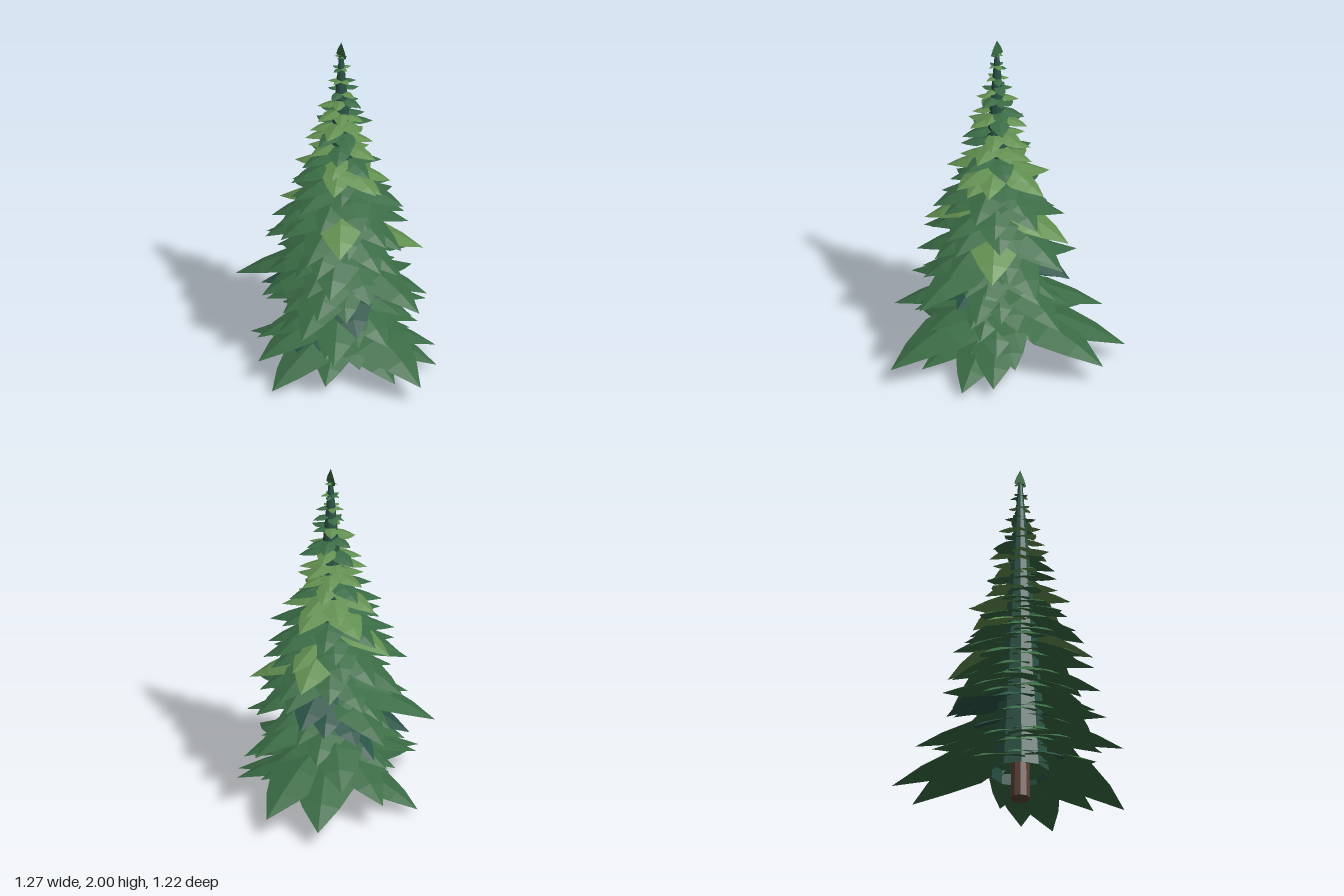
import * as THREE from 'three';

const AXIS = new THREE.Vector3(-0.07, 0, 0.025);
const material = (color) => new THREE.MeshStandardMaterial({ color, flatShading: true, side: THREE.DoubleSide });

// small seeded generator, 0..1
function seeded(seed) {
  return () => (seed = (seed * 16807) % 2147483647) / 2147483647;
}

// piecewise linear lookup in [key, value] pairs
function lookup(table, k) {
  for (let i = 1; i < table.length; i++) {
    const [a, va] = table[i - 1], [b, vb] = table[i];
    if (k <= b) return THREE.MathUtils.mapLinear(Math.max(k, a), a, b, va, vb);
  }
  return table[table.length - 1][1];
}

// branch outline: [distance along branch, half width as a share of the widest]
const OUTLINE = [[0.08, 0.4], [0.28, 0.85], [0.5, 1], [0.76, 0.58], [1, 0]];

// arched, slightly ridged, leaf-like branch from the trunk axis to its tip
function branchGeometry(tip, drop, halfWidth) {
  const reach = new THREE.Vector3(tip.x - AXIS.x, 0, tip.z - AXIS.z);
  const d = reach.clone().normalize();
  const side = new THREE.Vector3(d.z, 0, -d.x);
  const rows = OUTLINE.map(([t, w]) => {
    const mid = AXIS.clone().addScaledVector(reach, t);
    mid.y = tip.y + drop * (1 - Math.pow(t, 1.8));
    return [-1, 0, 1].map((s) => {
      const p = mid.clone().addScaledVector(side, s * w * halfWidth);
      p.y -= Math.abs(s) * w * halfWidth * 0.25;
      return p;
    });
  });
  const points = [];
  for (let i = 0; i < rows.length - 1; i++) {
    for (let j = 0; j < 2; j++) {
      const a = rows[i][j], b = rows[i][j + 1], c = rows[i + 1][j], e = rows[i + 1][j + 1];
      points.push(a, c, b);
      if (i < rows.length - 2) points.push(b, c, e);
    }
  }
  const geometry = new THREE.BufferGeometry().setFromPoints(points);
  geometry.computeVertexNormals();
  return geometry;
}

// large lower branches: tip x, y, z
const LOWER_TIPS = [
  [0.635, 0.12, 0.06], [0.335, 0.27, 0.435], [0.155, 0.38, 0.515], [0.01, 0.035, 0.605],
  [-0.14, 0.15, 0.575], [-0.28, 0.2, 0.46], [-0.505, 0.5, 0.42], [-0.585, 0.03, 0.24],
  [-0.6, 0.5, 0], [-0.64, 0.16, -0.04], [-0.575, 0.28, -0.275], [-0.597, 0.1, -0.455],
  [-0.33, 0.12, -0.61], [-0.1, 0.38, -0.52], [0.11, 0.28, -0.44], [0.255, 0.07, -0.38],
  [0.39, 0.04, -0.27], [0.33, 0.31, 0.25], [0.51, 0.5, -0.04], [0.3, 0.45, -0.28],
  [0.42, 0.05, 0.06], [0.2, 0.06, 0.38],
];

// tip height -> longest reach from the axis
const REACH = [[0.1, 0.42], [0.5, 0.47], [0.75, 0.45], [1.07, 0.35], [1.25, 0.24],
  [1.48, 0.19], [1.66, 0.115], [1.84, 0.06], [1.91, 0.04]];

// tip height -> droop as a share of the reach
const DROOP = [[0.1, 0.38], [0.75, 0.4], [1.07, 0.34], [1.9, 0.15]];

export function createModel() {
  const tree = new THREE.Group();
  const green = material(0x3a6b45), light = material(0x628f50), dark = material(0x2a5346);
  const add = (parent, name, geometry, mat) => {
    const mesh = new THREE.Mesh(geometry, mat);
    mesh.name = name;
    parent.add(mesh);
    return mesh;
  };

  // trunk and the open dark cone of inner foliage
  add(tree, 'trunk', new THREE.CylinderGeometry(0.05, 0.056, 0.4, 10), material(0x5e4338))
    .position.set(AXIS.x, 0.2, AXIS.z);
  add(tree, 'innerFoliage', new THREE.CylinderGeometry(0.012, 0.165, 1.77, 10, 1, true), dark)
    .position.set(AXIS.x, 1.035, AXIS.z);

  // long lower branches
  const lower = new THREE.Group();
  lower.name = 'lowerBranches';
  tree.add(lower);
  for (const p of LOWER_TIPS) {
    const tip = new THREE.Vector3(...p);
    const length = Math.hypot(tip.x - AXIS.x, tip.z - AXIS.z);
    add(lower, 'lowerBranch', branchGeometry(tip, length * 0.34, length * 0.25), green);
  }

  // tiers of shorter branches, turning a golden angle from tier to tier
  const random = seeded(4217);
  const tiers = 25;
  for (let i = 0; i < tiers; i++) {
    const tier = new THREE.Group();
    tier.name = 'branchTier' + (i + 1);
    tree.add(tier);
    const y = 0.12 + (i / (tiers - 1)) * 1.79;
    const count = y < 1.2 ? 7 : y < 1.6 ? 6 : 5;
    for (let j = 0; j < count; j++) {
      const angle = i * 2.4 + ((j + random() * 0.4) / count) * Math.PI * 2;
      const length = lookup(REACH, y) * (0.76 + 0.24 * random());
      const tip = new THREE.Vector3(
        AXIS.x + Math.sin(angle) * length,
        y + (random() - 0.5) * 0.06 * Math.min(1, length * 4),
        AXIS.z + Math.cos(angle) * length);
      const roll = random();
      const mat = y > 1.05 ? (roll < 0.6 ? light : green)
        : y > 0.7 ? (roll < 0.2 ? light : green)
        : roll < 0.15 ? dark : green;
      add(tier, 'branch', branchGeometry(tip, length * lookup(DROOP, y), length * 0.3), mat);
    }
  }

  // flat upright leaf at the top
  const leaf = new THREE.Shape([[0, 1.89], [0.042, 1.912], [0.028, 1.95], [0, 2], [-0.028, 1.95], [-0.042, 1.912]]
    .map(([x, y]) => new THREE.Vector2(x, y)));
  add(tree, 'topLeaf', new THREE.ShapeGeometry(leaf), green).position.copy(AXIS);

  return tree;
}
